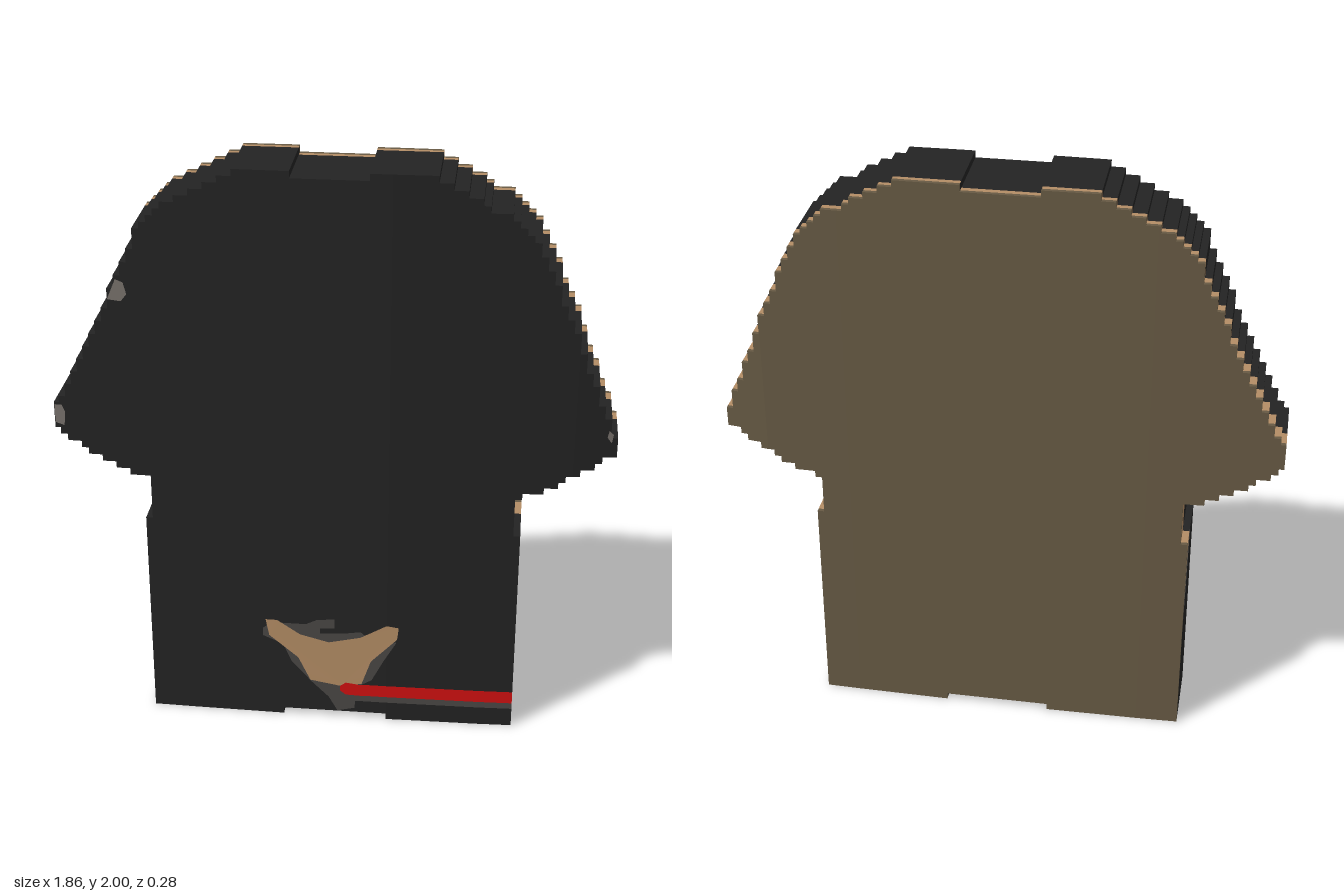
import * as THREE from 'three';

const mat = (name, color) => Object.assign(new THREE.MeshStandardMaterial({ color }), { name });

// Piecewise-linear lookup in rows of [key, value, value...]
function lerpTable(table, t, col = 1) {
  if (t <= table[0][0]) return table[0][col];
  for (let i = 1; i < table.length; i++) {
    const a = table[i - 1], b = table[i];
    if (t <= b[0]) return a[col] + (b[col] - a[col]) * (t - a[0]) / (b[0] - a[0]);
  }
  return table[table.length - 1][col];
}

// Silhouette: height, right-hand edge (-x), left-hand edge (+x)
const OUTLINE = [
  [0, -0.645, 0.62], [0.765, -0.645, 0.62], [0.766, -0.62, 0.6], [0.905, -0.62, 0.6],
  [0.915, -0.66, 0.655], [0.95, -0.73, 0.72], [1.0, -0.82, 0.81], [1.05, -0.9, 0.88],
  [1.075, -0.92, 0.92], [1.1, -0.94, 0.93], [1.11, -0.94, 0.91], [1.16, -0.94, 0.905],
  [1.18, -0.915, 0.89], [1.33, -0.835, 0.83], [1.5, -0.755, 0.765], [1.65, -0.695, 0.7],
  [1.8, -0.625, 0.625], [1.86, -0.575, 0.575], [1.9, -0.5, 0.485], [1.95, -0.4, 0.4],
  [1.99, -0.33, 0.33],
];
// Gently bowed front and back: x, front z, back z
const BOW = [
  [-0.94, 0.12, -0.122], [-0.8, 0.125, -0.125], [-0.5, 0.132, -0.133], [-0.18, 0.137, -0.137],
  [0.18, 0.137, -0.137], [0.5, 0.132, -0.133], [0.78, 0.122, -0.127], [0.93, 0.1, -0.105],
];
// Side colour borders: height, start of smudge, start of trim
const UPPER = [[0.78, -0.03, -0.03], [0.9, -0.03, -0.03], [1.23, -0.05, -0.05],
  [1.63, -0.08, -0.08], [2, -0.105, -0.105]];
const LEFT_SIDE = [
  [0, -0.06, -0.09], [0.046, 0, -0.07], [0.069, 0.14, -0.05], [0.092, 0.14, 0.14],
  [0.138, 0.14, 0.14], [0.161, 0.04, 0.04], [0.184, -0.03, -0.03], [0.25, -0.07, -0.075],
  [0.46, -0.09, -0.095], [0.5, -0.07, -0.08], [0.6, -0.035, -0.072], [0.72, -0.02, -0.035], ...UPPER,
];
const RIGHT_SIDE = [[0, -0.13, -0.13], [0.35, -0.12, -0.13], [0.5, -0.08, -0.12], [0.7, -0.03, -0.09], ...UPPER];

const ROWS = 87, H = 2 / ROWS;
const STRIPE_START = 0.025;
const frontZ = (x) => lerpTable(BOW, x, 1);
const backZ = (x) => lerpTable(BOW, x, 2);
const snap = (x) => Math.round(x / H) * H;

// Solid x intervals of one row, with the neck and hem notches cut out
function rowSpans(i) {
  if (i < 0 || i >= ROWS) return [];
  const y = (i + 0.5) * H;
  const l = Math.max(-0.937, snap(lerpTable(OUTLINE, y, 1)));
  const r = Math.min(0.932, snap(lerpTable(OUTLINE, y, 2)));
  if (i === 0) return [[l, -0.18], [0.18, r]];
  if (i === ROWS - 1) return [[l, -0.14], [0.11, r]];
  return [[l, r]];
}

const inside = (spans, x) => spans.some(([a, b]) => x > a && x < b);

// Split the spans into cells at the bow lines and the stripe end
function cells(...spanLists) {
  const xs = [...BOW.map((b) => b[0]), STRIPE_START, ...spanLists.flat(2)].sort((a, b) => a - b);
  const out = [];
  for (let i = 1; i < xs.length; i++) if (xs[i] - xs[i - 1] > 1e-6) out.push([xs[i - 1], xs[i]]);
  return out;
}

export function createModel() {
  const group = new THREE.Group();
  group.name = 'shirt';
  const black = mat('black fabric', 0x232323);
  const tan = mat('tan trim', 0xb48d65);
  const brown = mat('brown backing', 0x675a44);
  const red = mat('red stripe', 0xd01010);
  const grey = mat('dark grey smudge', 0x4a4745);
  const pale = mat('pale grey smudge', 0x78726c);

  const parts = new Map();
  function quad(name, material, a, b, c, d) {
    if (!parts.has(name)) parts.set(name, { material, pos: [] });
    parts.get(name).pos.push(...a, ...b, ...c, ...a, ...c, ...d);
  }

  // Borders between colours from front to back along the edge at (x, y)
  function borders(x, y, table) {
    const f = frontZ(x), b = backZ(x), rim = b + 0.014;
    const clamp = (z) => Math.min(f, Math.max(rim, z));
    return [f, clamp(lerpTable(table, y, 1)), clamp(lerpTable(table, y, 2)), rim, b];
  }

  function sideWall(x, y0, y1, dir, notch) {
    const table = dir > 0 ? LEFT_SIDE : RIGHT_SIDE;
    const p = borders(x, y0, table), q = borders(x, y1, table);
    const trim = dir > 0 && y1 < 0.49 ? ['sideStripe', red] : ['edgeTrim', tan];
    const bands = [['edgeFabric', black], ['edgeSmudge', y0 > 0.48 ? pale : grey], trim, ['backRim', brown]];
    bands.forEach(([name, m], k) => {
      if (p[k] - p[k + 1] < 1e-5 && q[k] - q[k + 1] < 1e-5) return;
      if (notch && k < 3) [name, m] = ['edgeFabric', black];
      if (m === pale) name = 'edgePaleSmudge';
      const c = [[x, y0, p[k]], [x, y0, p[k + 1]], [x, y1, q[k + 1]], [x, y1, q[k]]];
      if (dir < 0) c.reverse();
      quad(name, m, ...c);
    });
  }

  // Step between two rows, facing up or down
  function ledge(x0, x1, y, up) {
    const table = x0 + x1 > 0 ? LEFT_SIDE : RIGHT_SIDE;
    const p = borders(x0, y, table), q = borders(x1, y, table);
    [['edgeFabric', black], ['edgeTrim', tan], ['backRim', brown]].forEach(([name, m], k) => {
      if (y < 0.1 && k === 1) [name, m] = ['edgeFabric', black];
      const s = [0, 2, 3, 4];
      const c = [[x0, y, p[s[k]]], [x1, y, q[s[k]]], [x1, y, q[s[k + 1]]], [x0, y, p[s[k + 1]]]];
      if (!up) c.reverse();
      quad(name, m, ...c);
    });
  }

  // Shirt body, row by row
  for (let i = 0; i <= ROWS; i++) {
    const y0 = i * H, y1 = y0 + H, spans = rowSpans(i), below = rowSpans(i - 1);
    for (const [a, b] of cells(spans, below)) {
      const mid = (a + b) / 2, here = inside(spans, mid), under = inside(below, mid);
      if (here !== under) ledge(a, b, y0, under);
      if (!here) continue;
      let face = ['frontPanel', black];
      if (mid > STRIPE_START && (i === 4 || i === 5)) face = ['frontStripe', red];
      if (mid > STRIPE_START && i === 3) face = ['stripeShade', grey];
      const fa = frontZ(a), fb = frontZ(b), ba = backZ(a), bb = backZ(b);
      quad(...face, [a, y0, fa], [b, y0, fb], [b, y1, fb], [a, y1, fa]);
      quad('backPanel', brown, [b, y0, bb], [a, y0, ba], [a, y1, ba], [b, y1, bb]);
    }
    spans.forEach(([l, r], k) => {
      sideWall(l, y0, y1, -1, k > 0);
      sideWall(r, y0, y1, 1, k < spans.length - 1);
    });
  }
  for (const [name, { material, pos }] of parts) {
    const geo = new THREE.BufferGeometry();
    geo.setAttribute('position', new THREE.Float32BufferAttribute(pos, 3));
    geo.computeVertexNormals();
    const mesh = new THREE.Mesh(geo, material);
    mesh.name = name;
    group.add(mesh);
  }

  // Flat printed patches that follow the bowed front
  function patch(name, material, points, lift) {
    const geo = new THREE.ShapeGeometry(new THREE.Shape(points.map(([x, y]) => new THREE.Vector2(x, y))));
    const p = geo.attributes.position;
    for (let i = 0; i < p.count; i++) p.setZ(i, frontZ(p.getX(i)) + lift);
    geo.computeVertexNormals();
    const mesh = new THREE.Mesh(geo, material);
    mesh.name = name;
    group.add(mesh);
  }
  patch('printShadow', grey, [
    [-0.25, 0.35], [-0.22, 0.375], [-0.1, 0.375], [-0.06, 0.395], [0, 0.4], [0, 0.365], [-0.05, 0.36],
    [-0.05, 0.34], [0.03, 0.345], [0.09, 0.355], [0.12, 0.33], [0.215, 0.32], [0.17, 0.24], [0.13, 0.16],
    [0.08, 0.13], [0.07, 0.04], [0.01, 0.025], [-0.02, 0.08], [-0.08, 0.14], [-0.15, 0.22], [-0.18, 0.29],
    [-0.25, 0.32],
  ], 0.0012);
  patch('printChevron', tan, [
    [-0.24, 0.386], [-0.2, 0.386], [-0.12, 0.333], [-0.02, 0.307], [0.09, 0.333], [0.18, 0.386],
    [0.222, 0.38], [0.217, 0.333], [0.127, 0.238], [0.095, 0.143], [0.02, 0.13], [-0.085, 0.148],
    [-0.127, 0.238], [-0.228, 0.323],
  ], 0.0024);
  patch('stripeTip', red, [[0.02, 0.11], [0.04, 0.095], [0.1, 0.093], [0.1, 0.137], [0.04, 0.145], [0.02, 0.13]], 0.003);
  patch('sleeveSpotUpper', pale, [[-0.735, 1.55], [-0.69, 1.545], [-0.67, 1.57], [-0.68, 1.61], [-0.705, 1.62]], 0.002);
  patch('sleeveSpotRight', pale, [[-0.935, 1.1], [-0.905, 1.09], [-0.9, 1.14], [-0.91, 1.165], [-0.935, 1.165]], 0.002);
  patch('sleeveSpotLeft', pale, [[0.885, 1.13], [0.9, 1.11], [0.905, 1.14], [0.89, 1.155]], 0.002);
  return group;
}
